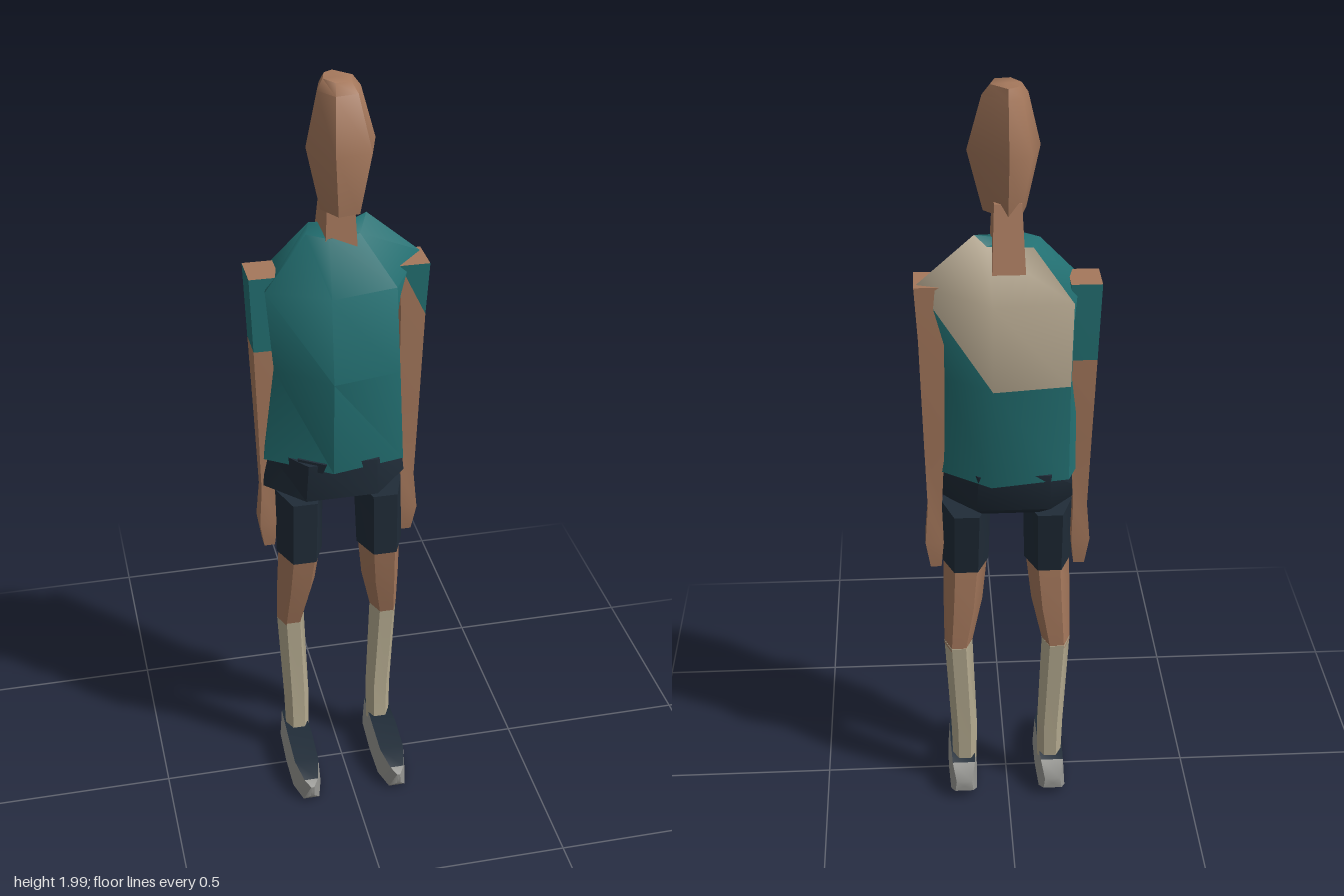
import * as THREE from 'three';
import { toCreasedNormals } from 'three/addons/utils/BufferGeometryUtils.js';

const paint = (name, color) => {
  const m = new THREE.MeshStandardMaterial({ color });
  m.name = name;
  return m;
};

// Skin over a stack of rings (each running from +z towards +x), with both ends capped.
// pick(segment, side, triangle) chooses the material index; segment -1 is the start cap, 'top' the end cap.
function loft(name, rings, mats, pick = () => 0, crease = 0.9) {
  const buckets = mats.map(() => []);
  const n = rings[0].length;
  const tri = (m, ...pts) => pts.forEach((p) => buckets[m].push(...p));
  for (let i = 0; i < rings.length - 1; i++) {
    for (let j = 0; j < n; j++) {
      const k = (j + 1) % n, p = rings[i], q = rings[i + 1];
      tri(pick(i, j, 0), p[j], p[k], q[j]);
      tri(pick(i, j, 1), p[k], q[k], q[j]);
    }
  }
  const last = rings[rings.length - 1];
  const mid = (r) => [0, 1, 2].map((a) => r.reduce((s, p) => s + p[a], 0) / n);
  for (let j = 0; j < n; j++) {
    const k = (j + 1) % n;
    tri(pick(-1, j, 0), mid(rings[0]), rings[0][k], rings[0][j]);
    tri(pick('top', j, 0), mid(last), last[j], last[k]);
  }
  let geo = new THREE.BufferGeometry();
  geo.setAttribute('position', new THREE.Float32BufferAttribute(buckets.flat(), 3));
  let start = 0;
  buckets.forEach((b, i) => {
    geo.addGroup(start, b.length / 3, i);
    start += b.length / 3;
  });
  geo = toCreasedNormals(geo, crease);
  const mesh = new THREE.Mesh(geo, mats);
  mesh.name = name;
  return mesh;
}

// Four-cornered ring
const quad = (y, x0, x1, z0, z1) => [[x0, y, z1], [x1, y, z1], [x1, y, z0], [x0, y, z0]];

// Six-sided ring filling the given extents
const hex = (y, x0, x1, z0, z1) => Array.from({ length: 6 }, (_, i) => {
  const a = (i - 0.5) * Math.PI / 3;
  return [(x0 + x1) / 2 + Math.sin(a) / 0.866 * (x1 - x0) / 2 * 0.866 / Math.sin(Math.PI / 2), y,
    (z0 + z1) / 2 + Math.cos(a) / 0.866 * (z1 - z0) / 2];
});

// Ring from [x, z] pairs at one height
const flat = (y, pts) => pts.map(([x, z]) => [x, y, z]);

export function createModel() {
  const skin = paint('skin', 0xa5785c);
  const teal = paint('teal shirt', 0x237072);
  const beige = paint('beige panel', 0xb8aa92);
  const navy = paint('navy cloth', 0x202c38);
  const sock = paint('sock cream', 0xb5ab90);
  const grey = paint('shoe grey', 0x969692);
  const group = new THREE.Group();
  group.name = 'standingFigure';

  // Head: one outline scaled at each height
  const outline = [[-0.025, 0.055], [0.065, 0.04], [0.095, -0.06], [0, -0.155], [-0.055, -0.12], [-0.08, -0.03]];
  const headRing = (y, sx, sz, cz) => outline.map(([x, z]) => [x * sx, y, cz + (z + 0.05) * sz]);
  group.add(loft('head', [
    headRing(1.685, 0.6, 0.68, -0.035), headRing(1.84, 1, 1, -0.05),
    headRing(1.97, 0.62, 0.6, -0.055), headRing(1.995, 0.42, 0.45, -0.06),
  ], [skin], undefined, 1.0));

  // Neck, with its back corners dropping onto the upper back
  const neckBase = quad(1.58, -0.04, 0.04, -0.145, 0);
  neckBase[2][1] = neckBase[3][1] = 1.56;
  group.add(loft('neck', [neckBase, quad(1.72, -0.033, 0.033, -0.1, -0.01)], [skin]));

  // Shirt with a pale panel on the upper back
  const shirt = [
    flat(1.01, [[-0.04, 0.09], [0.15, 0.05], [0.17, -0.09], [0.045, -0.185], [-0.15, -0.15], [-0.2, -0.02]]),
    flat(1.27, [[-0.04, 0.1], [0.135, 0.065], [0.155, -0.09], [0.04, -0.18], [-0.15, -0.155], [-0.17, -0.01]]),
    flat(1.49, [[-0.04, 0.075], [0.13, 0.04], [0.22, -0.095], [0.04, -0.175], [-0.155, -0.16], [-0.19, 0]]),
    flat(1.615, [[-0.03, 0], [0.05, -0.02], [0.08, -0.085], [0.05, -0.1], [-0.06, -0.11], [-0.08, -0.04]]),
  ];
  shirt[2][2][1] = 1.52;
  shirt[3][2][1] = 1.64;
  group.add(loft('shirt', shirt, [teal, beige], (i, j, t) => {
    if (i === 1) return j === 3 || (j === 2 && t === 1) ? 1 : 0;
    return i === 2 && (j === 2 || j === 3) ? 1 : 0;
  }));

  // Waist of the shorts
  group.add(loft('shortsWaist', [
    hex(0.9, -0.15, 0.14, -0.12, 0.03), hex(0.92, -0.2, 0.175, -0.14, 0.065), hex(1.03, -0.19, 0.165, -0.165, 0.075),
  ], [navy]));

  // Small dark notch in the front hem
  const notch = new THREE.Shape([[-0.03, 0], [0.03, 0], [0.04, 0.027], [-0.04, 0.027]].map((p) => new THREE.Vector2(...p)));
  const tab = new THREE.Mesh(new THREE.ExtrudeGeometry(notch, { depth: 0.006, bevelEnabled: false }), navy);
  tab.name = 'hemNotch';
  tab.position.set(-0.088, 1.01, 0.06);
  tab.rotation.y = -0.6;
  group.add(tab);

  for (const s of [-1, 1]) {
    const side = s > 0 ? 'left' : 'right';
    // Extents given on the +x side and mirrored for the other
    const span = (make, y, a, b, z0, z1) => make(y, Math.min(a * s, b * s), Math.max(a * s, b * s), z0, z1);

    // Legs: shorts, bare knee, sock
    group.add(loft(side + 'ShortsLeg', [
      span(hex, 0.715, 0.047, 0.17, -0.105, 0.045), span(hex, 0.9, 0.042, 0.17, -0.14, 0.05),
    ], [navy]));
    group.add(loft(side + 'Knee', [
      span(hex, 0.47, 0.095, 0.168, -0.11, -0.02), span(hex, 0.6, 0.065, 0.168, -0.11, 0.015),
      span(hex, 0.73, 0.05, 0.165, -0.1, 0.04),
    ], [skin]));
    group.add(loft(side + 'Sock', [
      span(hex, 0.08, 0.085, 0.15, -0.09, -0.025), span(hex, 0.2, 0.083, 0.153, -0.095, -0.03),
      span(hex, 0.48, 0.093, 0.168, -0.112, -0.018),
    ], [sock]));

    // Shoe: sections along z as [z, half width, bottom, top], dark upper
    const shoe = loft(side + 'Shoe', [
      [-0.145, 0.025, 0.03, 0.06], [-0.11, 0.036, 0.012, 0.1], [0, 0.04, 0.005, 0.1],
      [0.1, 0.039, 0.002, 0.085], [0.165, 0.022, 0.005, 0.072], [0.185, 0.005, 0.03, 0.06],
    ].map(([z, w, y0, y1]) => [[-w, z, -y0], [w, z, -y0], [w * 0.85, z, -y1], [-w * 0.85, z, -y1]]),
    [grey, navy], (i, j) => (j === 2 && i > 0 && i < 4 ? 1 : 0));
    shoe.geometry.rotateX(Math.PI / 2);
    shoe.position.x = 0.122 * s;
    group.add(shoe);

    // Arm and hand: a full sleeve on one side, only a front patch on the other
    group.add(loft(side + 'Arm', [
      span(quad, 0.725, 0.172, 0.2, -0.085, -0.045), span(quad, 0.8, 0.165, 0.212, -0.092, -0.033),
      span(quad, 0.9, 0.168, 0.204, -0.085, -0.042), span(quad, 1.1, 0.158, 0.21, -0.1, -0.032),
      span(quad, s > 0 ? 1.38 : 1.32, 0.155, 0.218, -0.112, -0.02), span(quad, 1.52, 0.15, 0.226, -0.115, -0.015),
    ], [skin, teal], (i, j, t) => (i === 4 && (s < 0 || (j === 0 && t === 1)) ? 1 : 0)));
  }
  return group;
}
